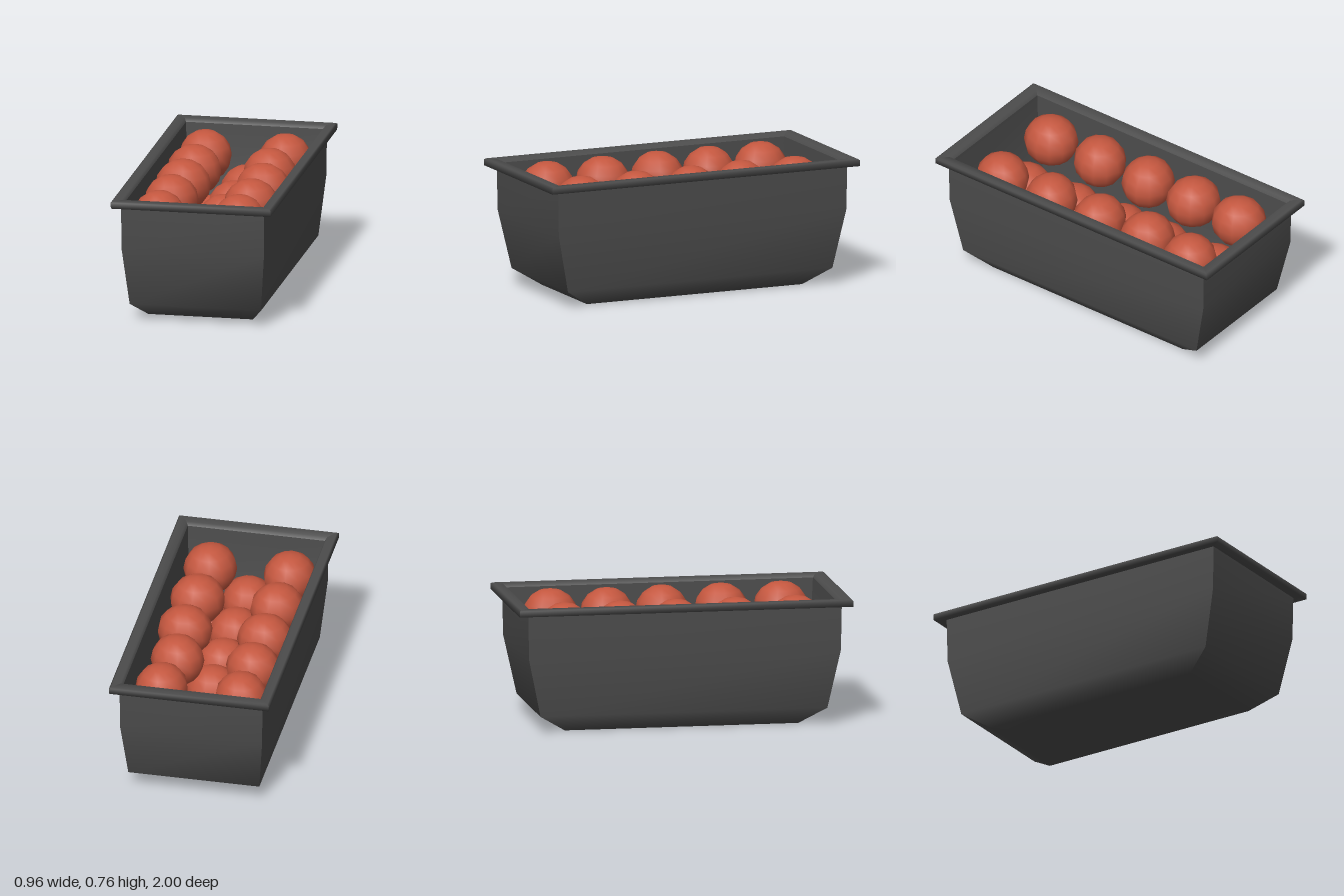
import * as THREE from 'three';

// Four mitred walls following one profile of [halfWidth, halfDepth, y];
// smooth along the profile, sharp at the corners.
function loftBox(profile) {
  const corners = [[-1, 1], [1, 1], [1, -1], [-1, -1]];
  const pos = [], index = [];
  for (let s = 0; s < 4; s++) {
    const base = pos.length / 3;
    const a = corners[s], b = corners[(s + 1) % 4];
    profile.forEach(([hx, hz, y], i) => {
      pos.push(a[0] * hx, y, a[1] * hz, b[0] * hx, y, b[1] * hz);
      if (i === 0) return;
      const p = base + (i - 1) * 2;
      index.push(p, p + 1, p + 3, p, p + 3, p + 2);
    });
  }
  const geo = new THREE.BufferGeometry();
  geo.setAttribute('position', new THREE.Float32BufferAttribute(pos, 3));
  geo.setIndex(index);
  geo.computeVertexNormals();
  return geo;
}

export function createModel() {
  const group = new THREE.Group();
  const crateMat = new THREE.MeshStandardMaterial({ color: 0x4c4c4c });
  crateMat.name = 'charcoal';
  const fruitMat = new THREE.MeshStandardMaterial({ color: 0xc4573f });
  fruitMat.name = 'tomato red';

  const add = (name, geo, mat) => {
    const mesh = new THREE.Mesh(geo, mat);
    mesh.name = name;
    group.add(mesh);
    return mesh;
  };

  // Tapered outer shell, from the middle of the base up to the rim
  add('outerShell', loftBox([
    [0, 0.385, 0], [0.315, 0.7, 0], [0.395, 0.86, 0.1],
    [0.428, 0.935, 0.45], [0.431, 0.94, 0.725],
  ]), crateMat);

  // Overhanging rim
  add('rim', loftBox([
    [0.425, 0.935, 0.72], [0.48, 1, 0.715], [0.482, 1, 0.75],
    [0.472, 0.99, 0.757], [0.425, 0.935, 0.755], [0.413, 0.92, 0.735],
  ]), crateMat);

  // Inside walls and floor
  add('innerShell', loftBox([
    [0.413, 0.92, 0.735], [0.405, 0.905, 0.45], [0.375, 0.83, 0.12],
    [0.3, 0.69, 0.03], [0, 0.385, 0.03],
  ]), crateMat);

  // Fruit in three layers of five
  const ball = new THREE.SphereGeometry(0.16, 12, 8);
  ball.scale(0.98, 0.96, 1.03);
  const rowsZ = [-0.69, -0.355, -0.02, 0.335, 0.695];
  const rows = [
    { name: 'topLeftFruit', x: 0.23, y: 0.602, dx: [0, -0.025, 0, 0, 0], dz: [0, 0, 0, 0, 0] },
    { name: 'topRightFruit', x: -0.25, y: 0.602, dx: [0, 0, 0, 0, 0], dz: [0, 0, 0, 0, 0] },
    { name: 'middleFruit', x: 0, y: 0.4, dx: [0, 0, 0, 0, 0], dz: [0, 0.03, 0, 0, 0] },
    { name: 'bottomLeftFruit', x: 0.21, y: 0.2, dx: [0, 0, 0, 0, 0.01], dz: [0.01, 0.01, 0.03, -0.01, -0.03] },
    { name: 'bottomRightFruit', x: -0.2, y: 0.2, dx: [0, 0.06, 0.04, 0, 0], dz: [-0.02, -0.01, -0.01, 0, 0] },
  ];
  rows.forEach((row, r) => rowsZ.forEach((z, i) => {
    const fruit = add(row.name + (i + 1), ball, fruitMat);
    fruit.position.set(row.x + row.dx[i], row.y, z + row.dz[i]);
    fruit.rotation.y = (r * 5 + i) * 0.7;
  }));

  return group;
}
